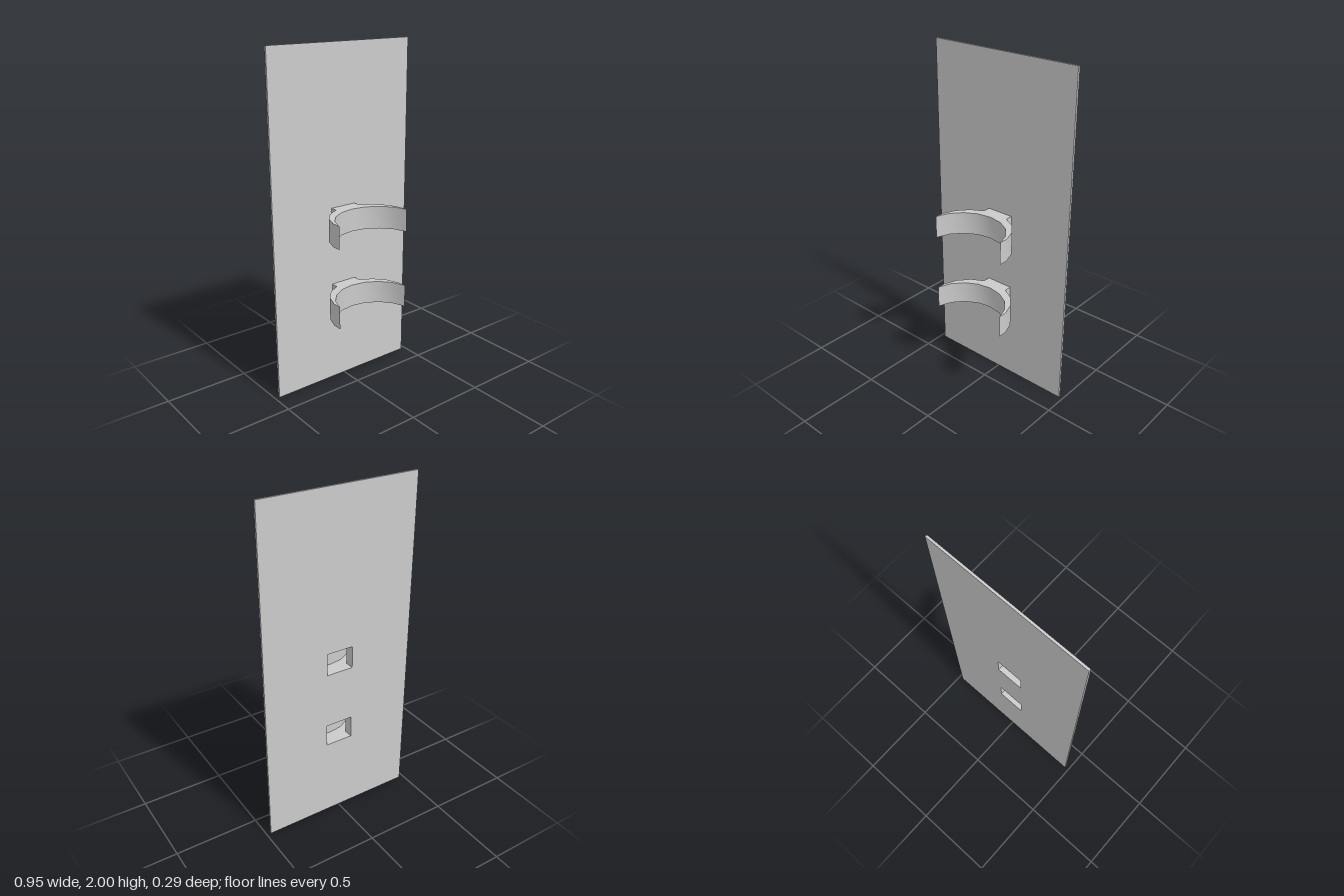
import * as THREE from 'three';
import { toCreasedNormals } from 'three/addons/utils/BufferGeometryUtils.js';

const BACK = -0.147, FACE = -0.134; // rear and front of the plate
const NECK = 0.083, CLIP_H = 0.133;
const CLIP_BASES = [0.481, 0.948];

const material = new THREE.MeshStandardMaterial({ color: 0xcccccc, side: THREE.DoubleSide });

// Upright plate with a rectangular opening behind each clip
function backPlate() {
  const rect = (Type, w, y0, y1) => new Type([[-w, y0], [w, y0], [w, y1], [-w, y1]]
    .map(([x, y]) => new THREE.Vector2(x, y)));
  const shape = rect(THREE.Shape, 0.474, 0, 2);
  for (const y of CLIP_BASES) shape.holes.push(rect(THREE.Path, NECK, y, y + CLIP_H));
  const geo = new THREE.ExtrudeGeometry(shape, { depth: FACE - BACK, bevelEnabled: false });
  return geo.translate(0, 0, BACK);
}

// Curved clip on a hollow neck that opens through the plate
function clipGeometry() {
  // right half of the outline as (x, z), from neck around the tip to the middle
  const half = [
    [NECK, FACE], [NECK, -0.09], [0.155, -0.05], [0.21, 0.016], [0.238, 0.094],
    [0.238, 0.147], [0.21, 0.069], [0.155, 0.005], [NECK, -0.036],
  ];
  const mirrored = half.map(([x, z]) => [-x, z]).reverse();
  const outline = [...half, [0, -0.05], ...mirrored].map(([x, z]) => new THREE.Vector2(x, -z));
  const solid = new THREE.ExtrudeGeometry(new THREE.Shape(outline), { depth: CLIP_H, bevelEnabled: false });
  solid.rotateX(-Math.PI / 2);

  // leave out the rear wall of the neck
  const p = solid.attributes.position, kept = [];
  for (let i = 0; i < p.count; i += 3) {
    const tri = [i, i + 1, i + 2];
    if (tri.every((k) => p.getZ(k) < FACE + 0.001)) continue;
    for (const k of tri) kept.push(p.getX(k), p.getY(k), p.getZ(k));
  }
  const geo = new THREE.BufferGeometry();
  geo.setAttribute('position', new THREE.Float32BufferAttribute(kept, 3));
  return toCreasedNormals(geo, 0.6);
}

export function createModel() {
  const group = new THREE.Group();
  const add = (name, geo, y = 0) => {
    const mesh = new THREE.Mesh(geo, material);
    mesh.name = name;
    mesh.position.y = y;
    group.add(mesh);
  };
  add('backPlate', backPlate());
  const clip = clipGeometry();
  CLIP_BASES.forEach((y, i) => add(i ? 'upperClip' : 'lowerClip', clip, y));
  return group;
}
